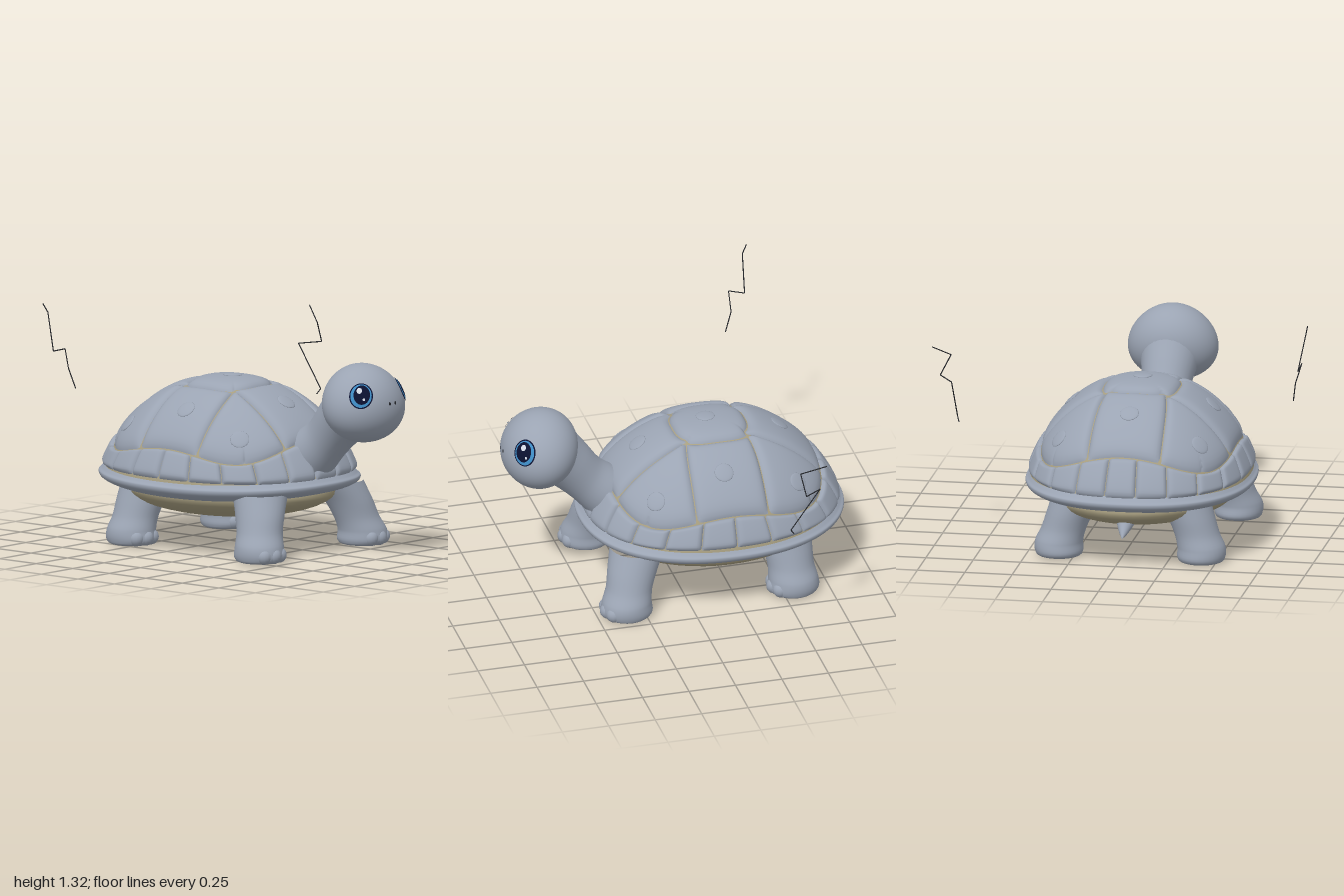
import * as THREE from 'three';
import { ParametricGeometry } from 'three/addons/geometries/ParametricGeometry.js';

const mat = (name, color) => {
  const m = new THREE.MeshStandardMaterial({ color });
  m.name = name;
  return m;
};
const V = (x, y, z) => new THREE.Vector3(x, y, z);
const spline = pts => new THREE.CatmullRomCurve3(pts, false, 'catmullrom', 0.5);

// Shell dimensions
const HALF_X = 0.58, HALF_Z = 0.68, SHELL_Z = -0.21;

// Point at angle t (0 = front) on a unit superellipse
function outline(t, n) {
  const x = Math.sin(t), z = Math.cos(t);
  const p = (Math.abs(x) ** n + Math.abs(z) ** n) ** (1 / n);
  return [x / p, z / p];
}

// Point on the dome above (x, z), pushed outwards by h
function dome(x, z, h, out) {
  const rho = (Math.abs(x / HALF_X) ** 2.25 + Math.abs(z / HALF_Z) ** 2.25) ** (1 / 2.25);
  const y = 0.34 + 0.52 * Math.max(0, 1 - rho ** 2.2) ** 0.7;
  out.set(x, y - 0.2, z);
  return out.setLength(out.length() + h).add(V(0, 0.2, 0));
}

// Maps the square [-1,1]^2 onto the rounded upper shell
function upper(a, b, h, out) {
  const m = Math.max(Math.abs(a), Math.abs(b));
  const p = (Math.abs(a) ** 3 + Math.abs(b) ** 3) ** (1 / 3) || 1;
  return dome(a * m / p * 0.505, b * m / p * 0.56, h, out);
}

// Raised middle and sunken edges of a scute
const pillow = (u, v) =>
  0.025 * (1 - Math.abs(2 * u - 1) ** 10) * (1 - Math.abs(2 * v - 1) ** 10) - 0.003;

// Point on the head in unit direction n, lifted off the skin
function headPoint(n, lift, out) {
  const k = 1 + lift / 0.21;
  return out.set(n.x * 0.236 * (1 - 0.1 * n.y) * k, 0.826 + n.y * 0.205 * k,
    0.705 - 0.015 * n.y + n.z * 0.2 * k);
}

export function createModel() {
  const skin = mat('skin grey', 0x9ba4b3);
  const tan = mat('belly tan', 0xa79e80);
  const navy = mat('eye navy', 0x0b1130);
  const blue = mat('eye blue', 0x3f8cc4);
  const white = mat('eye highlight', 0xd4d9e4);
  const dark = mat('dark line', 0x26282c);

  const model = new THREE.Group();
  const turtle = new THREE.Group();
  turtle.name = 'turtle';
  turtle.position.x = -0.045;
  const shell = new THREE.Group();
  shell.name = 'shell';
  shell.position.z = SHELL_Z;
  turtle.add(shell);
  model.add(turtle);

  const add = (parent, name, geo, material) => {
    const m = new THREE.Mesh(geo, material);
    m.name = name;
    parent.add(m);
    return m;
  };
  const surface = (parent, name, fn, nu, nv, material) =>
    add(parent, name, new ParametricGeometry(fn, nu, nv), material);

  // Skin over rings along a path; each row is x, y, z, radius x, radius across
  function loft(parent, name, rows, material, level = false) {
    const path = spline(rows.map(r => V(r[0], r[1], r[2])));
    const size = spline(rows.map(r => V(r[3], r[4] ?? r[3], 0)));
    return surface(parent, name, (u, v, out) => {
      const a = u * Math.PI * 2, s = size.getPoint(v), X = V(1, 0, 0);
      const T = level ? V(0, 1, 0) : path.getTangent(v);
      const N = T.cross(X).normalize();
      out.copy(path.getPoint(v)).addScaledVector(X, Math.cos(a) * s.x)
        .addScaledVector(N, Math.sin(a) * s.y);
    }, 28, 28, material);
  }

  // Dome under the scutes, seen in the grooves
  surface(shell, 'shellBase', (u, v, out) => {
    const [x, z] = outline(v * Math.PI * 2, 2.25), r = 0.002 + u * 0.985;
    dome(x * r * HALF_X, z * r * HALF_Z, 0, out);
  }, 32, 96, tan);

  // Three by three upper scutes with a round boss on each
  const cols = [-1, -0.39, 0.39, 1], rows = [-1, -0.34, 0.36, 1];
  const bosses = [[-0.36, 0, 0.36], [-0.365, 0.02, 0.375]];
  for (let i = 0; i < 3; i++) for (let j = 0; j < 3; j++) {
    surface(shell, 'upperScute', (u, v, out) => upper(
      THREE.MathUtils.lerp(cols[i], cols[i + 1], v),
      THREE.MathUtils.lerp(rows[j], rows[j + 1], u), pillow(u, v), out), 24, 24, skin);
    const x = bosses[0][i], z = bosses[1][j], e = 0.01;
    const p = dome(x, z, 0.022, V());
    const n = dome(x, z + e, 0.022, V()).sub(p).cross(dome(x + e, z, 0.022, V()).sub(p)).normalize();
    const boss = add(shell, 'scuteBoss', new THREE.SphereGeometry(0.05, 24, 12), skin);
    boss.position.copy(p);
    boss.quaternion.setFromUnitVectors(V(0, 1, 0), n);
    boss.scale.y = 0.16;
  }

  // Ring of edge scutes
  const COUNT = 22;
  for (let i = 0; i < COUNT; i++) {
    surface(shell, 'edgeScute', (u, v, out) => {
      const t = (i + v - 0.5) / COUNT * Math.PI * 2;
      const [ax, az] = outline(t, 3), [bx, bz] = outline(t, 2.25);
      const l = THREE.MathUtils.lerp;
      dome(l(ax * 0.505, bx * HALF_X * 0.98, u), l(az * 0.56, bz * HALF_Z * 0.98, u),
        pillow(u, v), out);
    }, 16, 14, skin);
  }

  // Flared rim
  const rim = spline([[0.95, 0.41], [1, 0.375], [1.027, 0.358], [1.01, 0.332],
    [0.94, 0.308], [0.84, 0.29], [0.7, 0.28]].map(p => V(p[0], p[1], 0)));
  surface(shell, 'shellRim', (u, v, out) => {
    const t = v * Math.PI * 2, [x, z] = outline(t, 2.25), p = rim.getPoint(u);
    out.set(x * p.x * HALF_X, p.y + 0.015 * Math.cos(t) ** 2, z * p.x * HALF_Z);
  }, 24, 96, skin);

  // Belly
  const belly = add(shell, 'belly', new THREE.SphereGeometry(1, 48, 24), tan);
  belly.scale.set(0.5, 0.145, 0.6);
  belly.position.y = 0.3;

  // Neck and tail
  loft(turtle, 'neck', [[0, 0.45, 0.2, 0.15], [0, 0.47, 0.29, 0.15], [0, 0.54, 0.375, 0.138],
    [0, 0.62, 0.465, 0.125], [0, 0.72, 0.56, 0.142], [0, 0.8, 0.65, 0.17]], skin);
  loft(turtle, 'tail', [[0, 0.27, -0.6, 0.07], [0, 0.235, -0.69, 0.05],
    [0, 0.195, -0.755, 0.027], [0, 0.165, -0.805, 0.002]], skin);

  // Head
  surface(turtle, 'head', (u, v, out) => {
    const f = 0.001 + u * (Math.PI - 0.002), t = v * Math.PI * 2;
    headPoint(V(Math.sin(f) * Math.sin(t), Math.cos(f), Math.sin(f) * Math.cos(t)), 0, out);
  }, 32, 48, skin);

  // Thin oval laid on the head around direction d, shifted by (ox, oy)
  function spot(name, d, w, h, lift, material, ox = 0, oy = 0) {
    const e1 = V(0, 1, 0).cross(d).normalize(), e2 = d.clone().cross(e1).normalize();
    surface(turtle, name, (u, v, out) => {
      const a = v * Math.PI * 2, r = 0.001 + u * 0.999;
      const n = d.clone().addScaledVector(e1, ox + r * w * Math.cos(a))
        .addScaledVector(e2, oy + r * h * Math.sin(a)).normalize();
      headPoint(n, lift, out);
    }, 8, 32, material);
  }
  for (const s of [-1, 1]) {
    const d = V(s * 0.7, 0.32, 0.63).normalize();
    spot('eyeOutline', d, 0.3, 0.34, 0.003, navy);
    spot('eyeIris', d, 0.265, 0.305, 0.005, blue);
    spot('eyePupil', d, 0.2, 0.245, 0.007, navy, -s * 0.02, 0.02);
    spot('eyeHighlight', d, 0.065, 0.075, 0.009, white, -0.04, 0.12);
    spot('eyeGlint', d, 0.03, 0.035, 0.009, white, 0.07, -0.1);
    spot('nostril', V(s * 0.09, 0.075, 1).normalize(), 0.034, 0.042, 0.003, dark);

    // Legs: foot centre x, z, then the lean towards the body
    for (const [name, fx, fz, lean] of [['frontLeg', 0.41, 0.345, -0.08], ['rearLeg', 0.375, -0.56, 0.03]]) {
      const at = (k, y, r, q = r) => [s * (fx - 0.1 * k), y, fz + lean * k, r, q];
      loft(turtle, name, [at(0, 0, 0.001), at(0, 0.001, 0.1), at(0, 0.025, 0.125, 0.135),
        at(0, 0.08, 0.125, 0.13), at(0.25, 0.15, 0.118, 0.122), at(0.6, 0.24, 0.125, 0.132),
        at(1.1, 0.34, 0.145)], skin, true);
      for (const a of [-0.45, 0.1, 0.65]) {
        const toe = add(turtle, 'toe', new THREE.SphereGeometry(0.042, 16, 12), skin);
        toe.position.set(s * (fx + Math.sin(a) * 0.1), 0.042, fz + Math.cos(a) * 0.105);
      }
    }
  }

  // Thin jagged strands floating on both sides
  const strands = {
    rightStrand: [[-1, 1.32, -0.67], [-0.988, 1.275, -0.645], [-0.944, 1.065, -0.645],
      [-0.95, 1.087, -0.56], [-0.917, 0.98, -0.565], [-0.9, 0.875, -0.53]],
    leftStrand: [[1, 1.083, -0.56], [0.922, 1.013, -0.44], [0.976, 0.906, -0.457],
      [0.9, 0.896, -0.55], [0.896, 0.674, -0.395], [0.885, 0.645, -0.413]],
  };
  for (const [name, pts] of Object.entries(strands)) {
    const group = new THREE.Group();
    group.name = name;
    model.add(group);
    for (let i = 1; i < pts.length; i++) {
      const a = V(...pts[i - 1]), b = V(...pts[i]), d = b.clone().sub(a);
      const seg = add(group, 'strandPiece', new THREE.CylinderGeometry(0.003, 0.003, d.length(), 6), dark);
      seg.position.copy(a).lerp(b, 0.5);
      seg.quaternion.setFromUnitVectors(V(0, 1, 0), d.normalize());
    }
  }
  return model;
}
